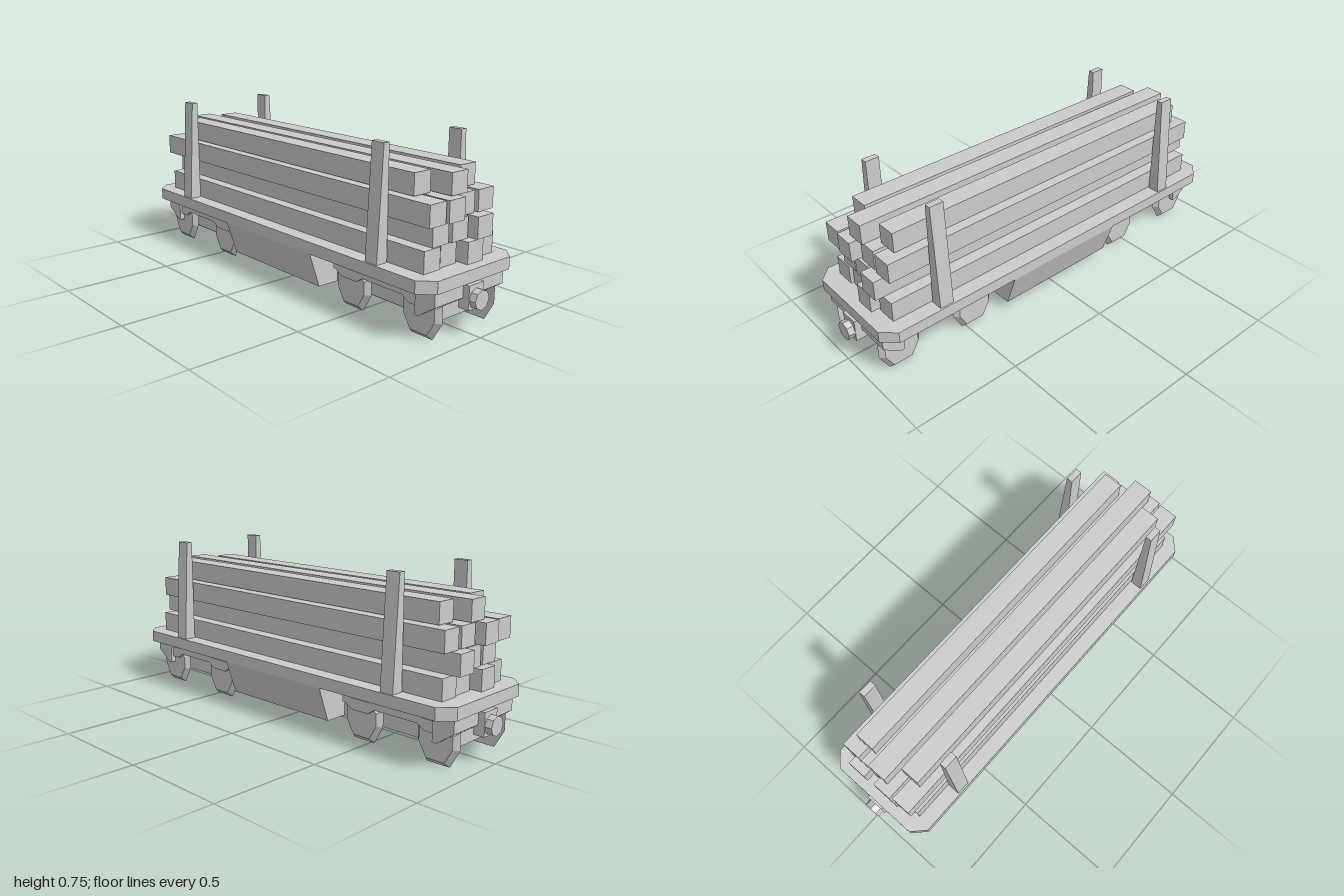
import * as THREE from 'three';
import { ConvexGeometry } from 'three/addons/geometries/ConvexGeometry.js';

const material = new THREE.MeshStandardMaterial({ color: 0xcccccc, flatShading: true });

export function createModel() {
  const model = new THREE.Group();

  const add = (name, geometry, x = 0, y = 0, z = 0) => {
    const mesh = new THREE.Mesh(geometry, material);
    mesh.name = name;
    mesh.position.set(x, y, z);
    model.add(mesh);
    return mesh;
  };
  const box = (name, w, h, d, x, y, z) => add(name, new THREE.BoxGeometry(w, h, d), x, y, z);
  // Outline in XY, extruded along z and centred there
  const extrude = (points, depth) => {
    const shape = new THREE.Shape(points.map(([x, y]) => new THREE.Vector2(x, y)));
    return new THREE.ExtrudeGeometry(shape, { depth, bevelEnabled: false }).translate(0, 0, -depth / 2);
  };
  // Outline in (z, y), extruded along x
  const sideExtrude = (points, width) =>
    extrude(points.map(([z, y]) => [-z, y]), width).rotateY(Math.PI / 2);

  // Deck with cut corners
  const deck = extrude([
    [-0.215, -0.96], [0.215, -0.96], [0.273, -0.9], [0.273, 0.9],
    [0.215, 0.96], [-0.215, 0.96], [-0.273, 0.9], [-0.273, -0.9],
  ], 0.053).rotateX(Math.PI / 2);
  add('deck', deck, 0, 0.2485, 0);

  // Underframe: long sill and wider tapered belly
  box('centreSill', 0.226, 0.157, 1.77, 0, 0.1435, 0);
  add('belly', extrude([[-0.22, 0.065], [0.22, 0.065], [0.273, 0.222], [-0.273, 0.222]], 0.61));

  // End beams and couplers
  for (const s of [1, -1]) {
    const beam = sideExtrude([[0.94, 0.216], [0.94, 0.16], [0.86, 0.105], [0.84, 0.105], [0.84, 0.216]], 0.408);
    if (s < 0) beam.rotateY(Math.PI);
    add('endBeam', beam);
    box('couplerPlate', 0.086, 0.102, 0.05, 0, 0.166, s * 0.945);
    const buffer = new THREE.CylinderGeometry(0.042, 0.042, 0.06, 8).rotateX(Math.PI / 2);
    add('coupler', buffer, 0, 0.158, s * 0.97);
  }

  // Wheels: plates with a bevelled outer face
  const rim = [
    [-0.1, 0.083], [-0.055, 0.003], [0.055, 0.003], [0.1, 0.083],
    [0.1, 0.155], [0.06, 0.187], [-0.06, 0.187], [-0.1, 0.155],
  ];
  const wheelGeometry = (side) => {
    const points = [];
    for (const [z, y] of rim) {
      points.push(new THREE.Vector3(side * 0.157, y, z));
      points.push(new THREE.Vector3(side * 0.18, 0.095 + (y - 0.095) * 0.77, z * 0.8));
    }
    return new ConvexGeometry(points);
  };

  // Truck side frame: a bar dipping over each axle
  const half = [
    [0.05, 0.217], [0.1, 0.217], [0.13, 0.187], [0.245, 0.187], [0.27, 0.217], [0.285, 0.217],
    [0.285, 0.16], [0.27, 0.16], [0.235, 0.137], [0.145, 0.137], [0.11, 0.16], [0.05, 0.16],
  ];
  const frameOutline = [...half, ...half.map(([z, y]) => [-z, y]).reverse()];

  for (const side of [1, -1]) {
    for (const end of [1, -1]) {
      add('truckFrame', sideExtrude(frameOutline, 0.036), side * 0.175, 0, end * 0.65);
      for (const offset of [0.19, -0.19]) {
        add('wheel', wheelGeometry(side), 0, 0, end * 0.65 + offset);
      }
      // Tapered stake, straight on the load side
      const stake = extrude([[0.209, 0.275], [0.265, 0.275], [0.238, 0.753], [0.209, 0.753]], 0.065);
      if (side < 0) stake.rotateY(Math.PI);
      add('stake', stake, 0, 0, end * 0.66);
    }
  }

  // Timber rows: [x, back z, front z] for every beam
  const rows = [
    [[-0.159, -0.88, 0.88], [-0.055, -0.915, 0.87], [0.053, -0.87, 0.915], [0.158, -0.88, 0.88]],
    [[-0.109, -0.88, 0.875], [-0.002, -0.88, 0.88], [0.103, -0.92, 0.918]],
    [[-0.164, -0.91, 0.905], [-0.063, -0.918, 0.912], [0.044, -0.88, 0.87], [0.153, -0.88, 0.875]],
    [[-0.127, -0.8, 0.79], [-0.017, -0.88, 0.88], [0.109, -0.82, 0.815]],
  ];
  const rowHeights = [0.321, 0.413, 0.506, 0.6];
  rows.forEach((row, i) => {
    for (const [x, back, front] of row) {
      box('timber', 0.091, 0.091, front - back, x, rowHeights[i], (front + back) / 2);
    }
  });

  return model;
}
